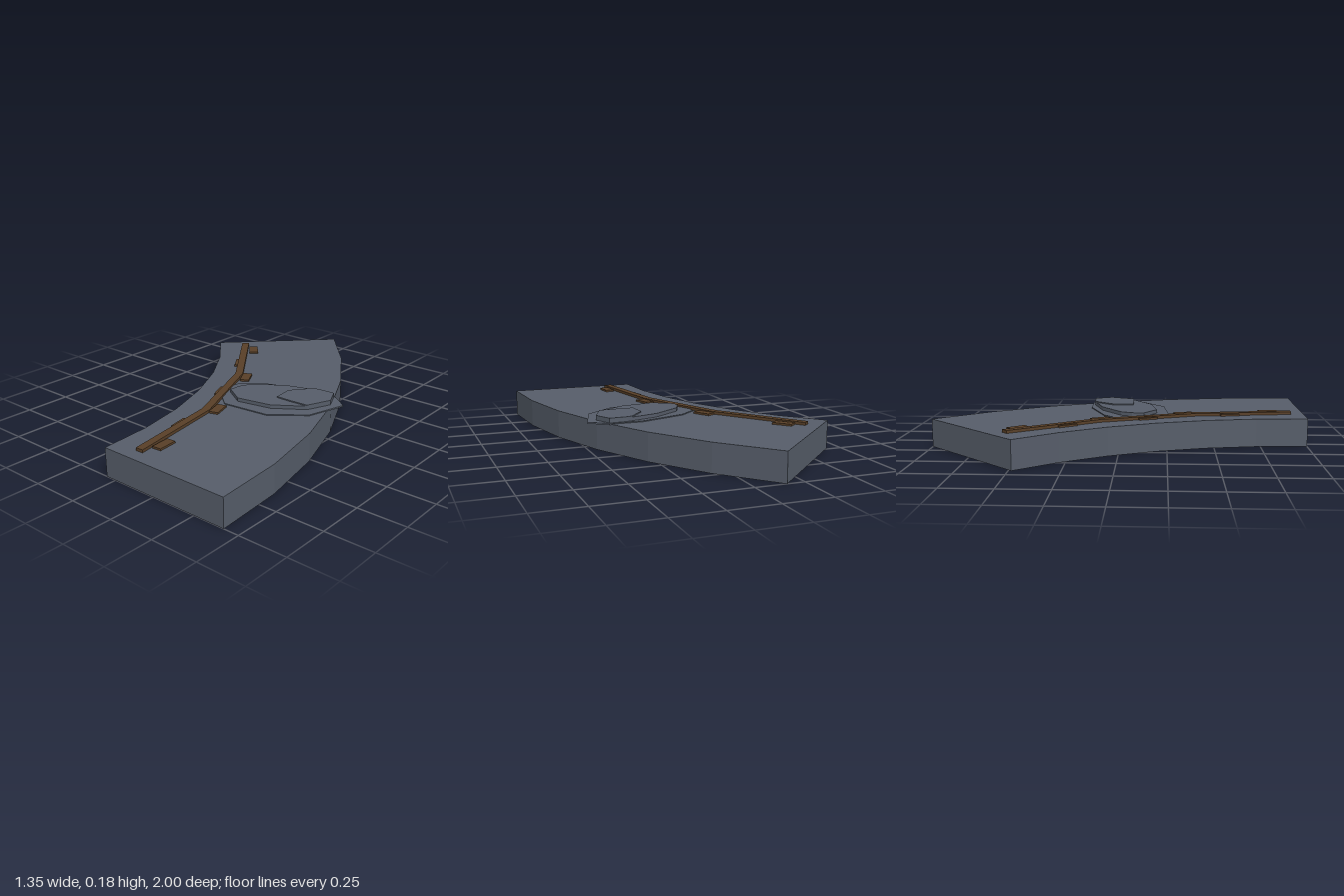
import * as THREE from 'three';

// Bend: arc around a centre in plan, swept by 45 degrees
const CX = -2.16, CZ = 1.0, INNER = 2.1, OUTER = 2.83;

function polar(radius, degrees) {
  const a = THREE.MathUtils.degToRad(degrees);
  return [CX + radius * Math.cos(a), CZ - radius * Math.sin(a)];
}

// Flat slab from a plan outline of [x, z] points
function slab(name, points, y0, y1, material) {
  const shape = new THREE.Shape(points.map(([x, z]) => new THREE.Vector2(x, -z)));
  const geometry = new THREE.ExtrudeGeometry(shape, { depth: y1 - y0, bevelEnabled: false });
  geometry.rotateX(-Math.PI / 2);
  geometry.translate(0, y0, 0);
  const mesh = new THREE.Mesh(geometry, material);
  mesh.name = name;
  return mesh;
}

// Outline of a band following the arc through the given angles
function band(inner, outer, angles) {
  return [
    ...angles.map((a) => polar(outer, a)),
    ...[...angles].reverse().map((a) => polar(inner, a)),
  ];
}

export function createModel() {
  const stone = new THREE.MeshStandardMaterial({ color: 0x565d69 });
  stone.name = 'slate stone';
  const wood = new THREE.MeshStandardMaterial({ color: 0x583f27 });
  wood.name = 'brown wood';

  const group = new THREE.Group();
  group.name = 'curvedPath';

  // Curved path base
  const steps = [0, 7.5, 15, 22.5, 30, 37.5, 45];
  group.add(slab('pathBase', band(INNER, OUTER, steps), 0, 0.15, stone));

  // Long strip in three straight runs
  group.add(slab('strip', band(2.235, 2.277, [1.8, 15.6, 29.4, 43.2]), 0.15, 0.165, wood));

  // Short pieces alternating on either side of the strip
  for (let i = 0; i < 7; i++) {
    const angle = 4.7 + i * 5.97;
    const [x, z] = polar(i % 2 ? 2.229 : 2.302, angle);
    const piece = new THREE.Mesh(new THREE.BoxGeometry(0.05, 0.011, 0.104), wood);
    piece.name = 'sidePiece';
    piece.position.set(x, 0.1545, z);
    piece.rotation.y = THREE.MathUtils.degToRad(angle);
    group.add(piece);
  }

  // Layered stone patch reaching past the outer edge
  group.add(slab('patchLower', [
    [0.51, -0.11], [0.45, 0.1], [0.28, 0.235], [0.02, 0.26], [-0.12, 0.14],
    [-0.11, -0.01], [-0.02, -0.09], [0.234, -0.18], [0.415, -0.18],
  ], 0.147, 0.155, stone));
  group.add(slab('patchMiddle', [
    [-0.055, 0.125], [0.055, 0.195], [0.245, 0.16], [0.4, 0.055], [0.455, -0.075],
    [0.41, -0.17], [0.315, -0.165], [0.135, -0.11], [-0.02, 0], [-0.05, 0.06],
  ], 0.15, 0.174, stone));
  group.add(slab('patchUpper', [
    [0.21, 0.06], [0.2, -0.05], [0.285, -0.155], [0.315, -0.165], [0.41, -0.17],
    [0.455, -0.075], [0.4, 0.055], [0.3, 0.06],
  ], 0.174, 0.18, stone));

  return group;
}
